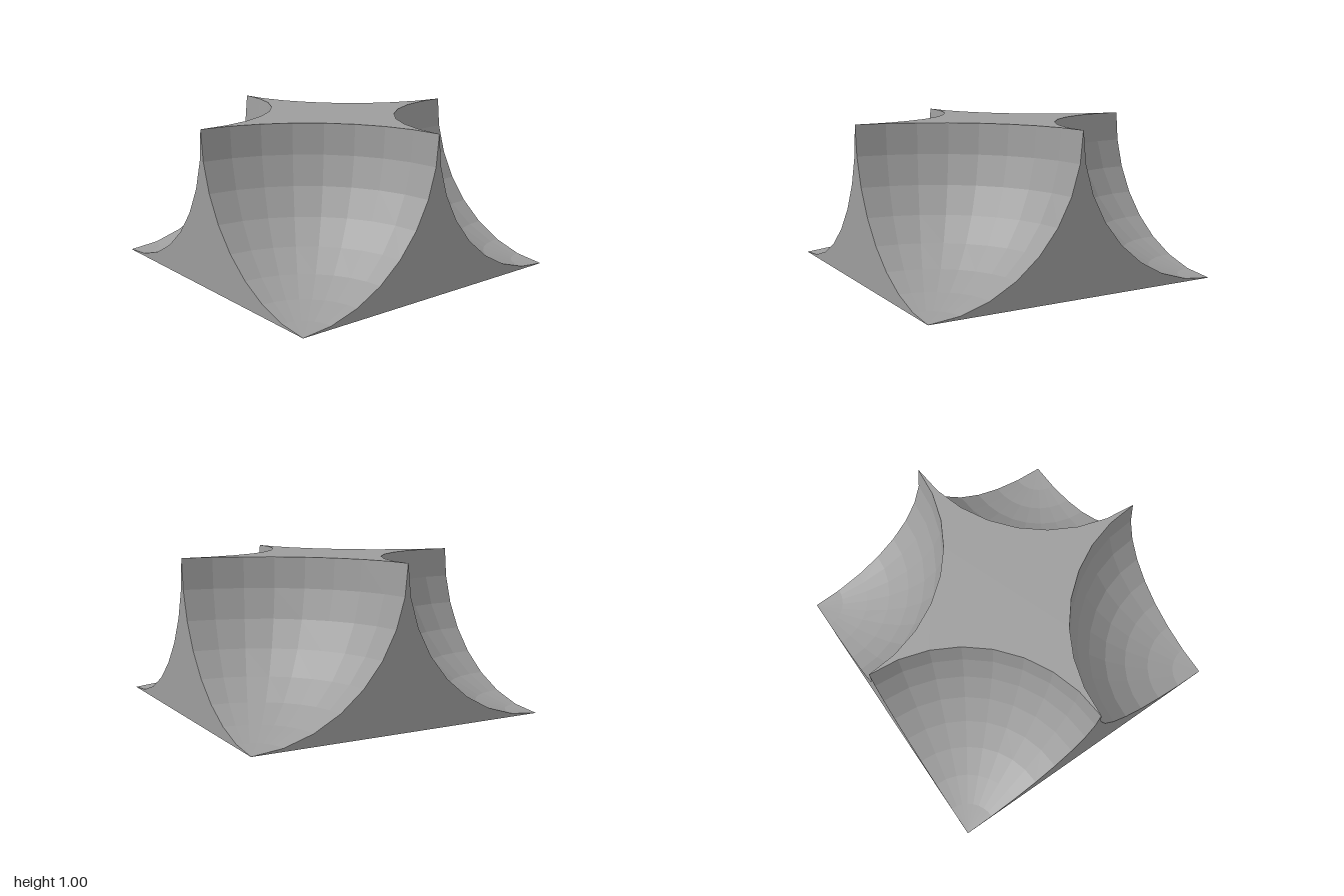
import * as THREE from 'three';

const R = 0.999; // radius of the scooped corners
const STEPS = 8; // facets per quarter turn

export function createModel() {
  const model = new THREE.Group();
  const material = new THREE.MeshStandardMaterial({ color: 0x9d9d9d, flatShading: true });

  const add = (parent, name, geometry) => {
    const mesh = new THREE.Mesh(geometry, material);
    mesh.name = name;
    parent.add(mesh);
  };

  // Clockwise quarter arc as points
  const arc = (cx, cy, startAngle) =>
    Array.from({ length: STEPS + 1 }, (_, i) => {
      const a = startAngle - (i * Math.PI) / 2 / STEPS;
      return new THREE.Vector2(cx + R * Math.cos(a), cy + R * Math.sin(a));
    });

  // Flat star-shaped top between the four scoops
  const corners = [[1, 1], [-1, 1], [-1, -1], [1, -1]];
  const topOutline = corners.flatMap(([x, y], i) => arc(x, y, ((3 + i) * Math.PI) / 2));
  const top = new THREE.ShapeGeometry(new THREE.Shape(topOutline));
  add(model, 'top', top.rotateX(-Math.PI / 2).translate(0, 1, 0));

  // Square underside
  add(model, 'base', new THREE.PlaneGeometry(2, 2).rotateX(Math.PI / 2));

  // Side wall with concave flanks
  const sideOutline = [
    new THREE.Vector2(-1, 0),
    new THREE.Vector2(1, 0),
    ...arc(1, 1, -Math.PI / 2),
    ...arc(-1, 1, 0),
  ];
  const side = new THREE.ShapeGeometry(new THREE.Shape(sideOutline)).translate(0, 0, 1);

  // One eighth of a sphere, mirrored so that it faces inwards
  const scoop = new THREE.SphereGeometry(R, STEPS, STEPS, 0, Math.PI / 2, Math.PI / 2, Math.PI / 2)
    .scale(-1, 1, 1)
    .toNonIndexed();
  scoop.computeVertexNormals();
  scoop.translate(-1, 1, -1);

  // Repeat wall and scoop around the block
  for (let i = 0; i < 4; i++) {
    const quarter = new THREE.Group();
    quarter.name = 'quarter' + (i + 1);
    add(quarter, 'sideWall', side);
    add(quarter, 'cornerScoop', scoop);
    quarter.rotation.y = (i * Math.PI) / 2;
    model.add(quarter);
  }
  return model;
}
